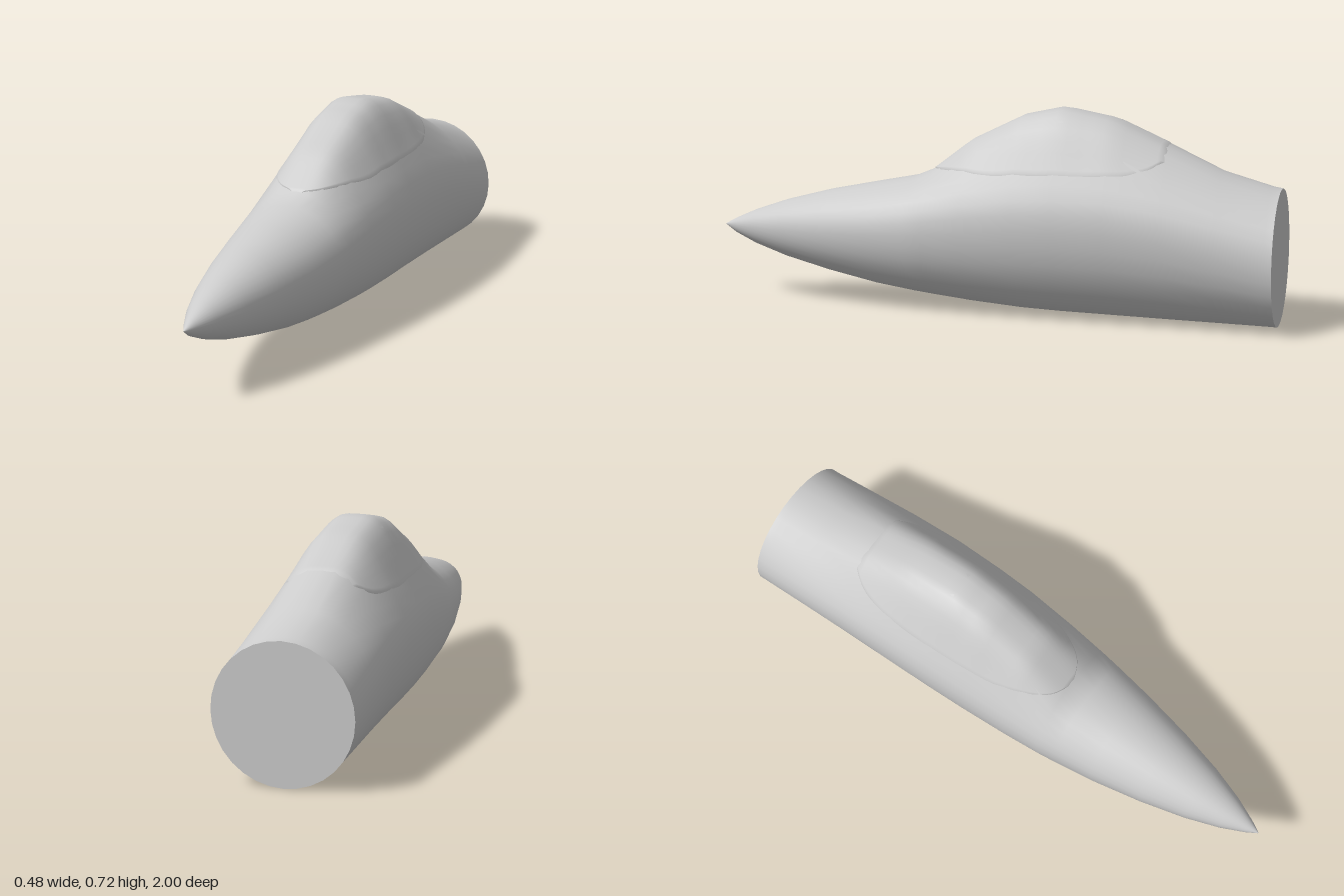
import * as THREE from 'three';

// Cross-sections: z, half width, bottom, widest height, shoulder top, hump height, upper exponent
const ROWS = [
  [1, 0.002, 0.253, 0.255, 0.257, 0, 2],
  [0.96, 0.024, 0.226, 0.255, 0.279, 0, 2],
  [0.88, 0.06, 0.19, 0.257, 0.315, 0, 2],
  [0.76, 0.101, 0.15, 0.26, 0.357, 0, 2],
  [0.6, 0.142, 0.11, 0.265, 0.4, 0, 2],
  [0.42, 0.178, 0.073, 0.275, 0.437, 0, 2],
  [0.28, 0.199, 0.053, 0.285, 0.464, 0, 2.1],
  [0.21, 0.208, 0.045, 0.29, 0.47, 0.023, 2.2],
  [0.07, 0.221, 0.03, 0.305, 0.48, 0.12, 2.4],
  [-0.11, 0.233, 0.016, 0.325, 0.495, 0.194, 2.5],
  [-0.25, 0.238, 0.011, 0.33, 0.5, 0.22, 2.5],
  [-0.43, 0.241, 0.008, 0.33, 0.5, 0.187, 2.5],
  [-0.62, 0.24, 0.005, 0.31, 0.49, 0.114, 2.35],
  [-0.8, 0.238, 0.003, 0.275, 0.48, 0.041, 2.15],
  [-0.97, 0.235, 0.001, 0.24, 0.471, 0.004, 2],
  [-1, 0.235, 0, 0.235, 0.47, 0, 2],
];

// Section values at any z, interpolated between rows
function sectionAt(z) {
  let i = 0;
  while (i < ROWS.length - 2 && ROWS[i + 1][0] > z) i++;
  const a = ROWS[i], b = ROWS[i + 1];
  const k = THREE.MathUtils.clamp((z - a[0]) / (b[0] - a[0]), 0, 1);
  return a.map((v, j) => v + (b[j] - v) * k);
}

// Upper skin height: rounded shoulder plus the bell-shaped hump
function upperY([, w, , mid, top, hump, n], x) {
  const u = Math.min(1, Math.abs(x) / w);
  const bell = (1 - u ** 6) / (1 + (u / 0.63) ** 4);
  return mid + (top - mid) * Math.max(0, 1 - u ** n) ** (1 / n) + hump * bell;
}

// Skin a grid of points, rows by columns
function skin(grid, closed) {
  const cols = grid[0].length, index = [];
  for (let r = 0; r < grid.length - 1; r++) {
    for (let c = 0; c < (closed ? cols : cols - 1); c++) {
      const d = (c + 1) % cols;
      const p = r * cols + c, q = r * cols + d;
      index.push(p, p + cols, q, q, p + cols, q + cols);
    }
  }
  const g = new THREE.BufferGeometry();
  g.setAttribute('position', new THREE.Float32BufferAttribute(grid.flat(2), 3));
  g.setIndex(index);
  g.computeVertexNormals();
  return g;
}

export function createModel() {
  const group = new THREE.Group();
  const material = new THREE.MeshStandardMaterial({ color: 0xcccccc, roughness: 0.8, side: THREE.DoubleSide });
  const add = (name, geometry) => {
    const mesh = new THREE.Mesh(geometry, material);
    mesh.name = name;
    group.add(mesh);
  };

  // Fuselage loft, counter-clockwise seen from the nose
  const SIDES = 32;
  const ring = (s) => Array.from({ length: SIDES }, (_, i) => {
    const t = (i / SIDES) * Math.PI * 2;
    const x = s[1] * Math.cos(t), up = Math.sin(t);
    const y = up >= 0 ? upperY(s, x) : s[3] + (s[3] - s[2]) * up;
    return [x, y, s[0]];
  });
  add('fuselage', skin(ROWS.map(ring), true));

  // Flat rear bulkhead
  const outline = ring(ROWS[ROWS.length - 1]).map(([x, y]) => new THREE.Vector2(-x, y));
  const cap = new THREE.ShapeGeometry(new THREE.Shape(outline));
  cap.rotateY(Math.PI);
  cap.translate(0, 0, -1);
  add('rearBulkhead', cap);

  // Canopy shell: follows the hump, slightly proud, with its rim tucked in
  const canopyWidth = new THREE.CatmullRomCurve3([
    [0.21, 0.012], [0.18, 0.075], [0.12, 0.12], [0, 0.16], [-0.15, 0.178],
    [-0.33, 0.183], [-0.48, 0.172], [-0.57, 0.145], [-0.62, 0.11],
  ].map(([z, w]) => new THREE.Vector3(w, 0, z)));
  const COLS = 20;
  const canopy = canopyWidth.getPoints(32).map((p, r) => {
    const s = sectionAt(p.z);
    return Array.from({ length: COLS + 1 }, (_, c) => {
      const k = Math.cos((c / COLS) * Math.PI);
      const rim = c === 0 || c === COLS || r === 0 || r === 32;
      return [p.x * k, upperY(s, p.x * k) + (rim ? -0.003 : 0.003), p.z];
    });
  });
  add('canopy', skin(canopy, false));
  return group;
}
